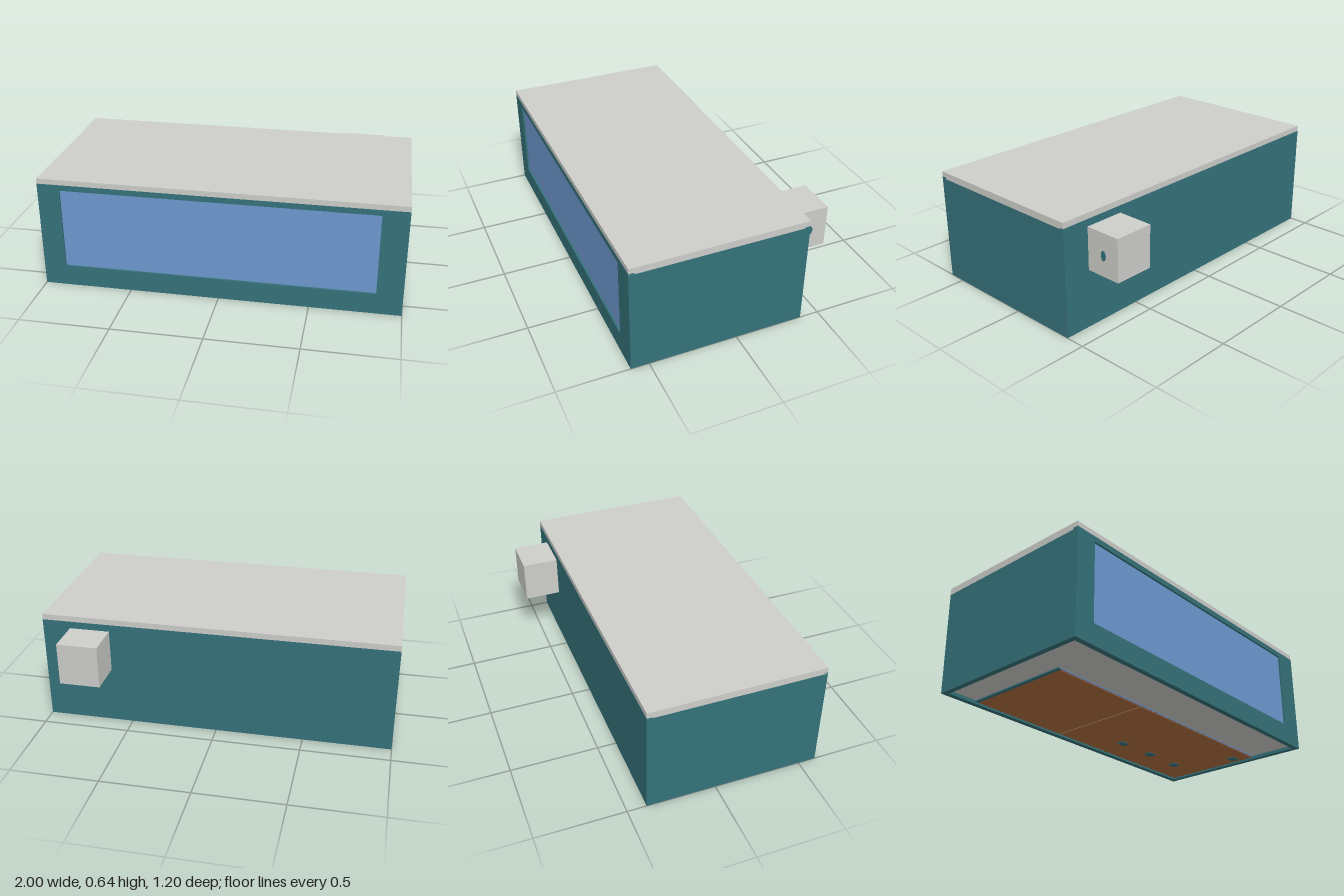
import * as THREE from 'three';

const mat = (name, color) => {
  const m = new THREE.MeshStandardMaterial({ color });
  m.name = name;
  return m;
};

export function createModel() {
  const model = new THREE.Group();
  model.name = 'displayCase';
  const teal = mat('teal', 0x35727a);
  const pale = mat('paleGrey', 0xcdcdca);
  const blue = mat('windowBlue', 0x6f9ad1);
  const brown = mat('boardBrown', 0xb06e40);

  // Box given by its lower and upper corners
  const box = (name, material, [x0, y0, z0], [x1, y1, z1]) => {
    const mesh = new THREE.Mesh(new THREE.BoxGeometry(x1 - x0, y1 - y0, z1 - z0), material);
    mesh.name = name;
    mesh.position.set((x0 + x1) / 2, (y0 + y1) / 2, (z0 + z1) / 2);
    model.add(mesh);
    return mesh;
  };

  // Front wall with the window opening
  const wall = new THREE.Shape([[-1, 0], [1, 0], [1, 0.615], [-1, 0.615]].map(p => new THREE.Vector2(...p)));
  wall.holes.push(new THREE.Path(
    [[-0.875, 0.12], [-0.875, 0.583], [0.857, 0.583], [0.857, 0.12]].map(p => new THREE.Vector2(...p))));
  const front = new THREE.Mesh(new THREE.ExtrudeGeometry(wall, { depth: 0.031, bevelEnabled: false }), teal);
  front.name = 'frontWall';
  front.position.z = 0.57;
  model.add(front);

  // Other walls
  box('backWall', teal, [-1, 0, -0.391], [1, 0.612, -0.36]);
  box('leftWall', teal, [0.97, 0, -0.36], [1, 0.606, 0.57]);
  box('rightWall', teal, [-1, 0, -0.36], [-0.97, 0.606, 0.57]);

  // Lid, window pane and floor
  box('lid', pale, [-1, 0.605, -0.39], [1, 0.645, 0.6]);
  box('windowPane', blue, [-0.885, 0.11, 0.56], [0.867, 0.593, 0.59]);
  box('floor', pale, [-0.97, 0.02, -0.36], [0.97, 0.05, 0.57]);

  // Two boards under the floor with thin seams
  box('boardSeam', blue, [-0.77, 0.016, -0.36], [0.97, 0.02, 0.28]);
  box('boardEnd', teal, [-0.79, 0.012, -0.36], [-0.77, 0.02, 0.28]);
  box('smallBoard', brown, [-0.77, 0.012, -0.36], [-0.145, 0.018, 0.272]);
  box('largeBoard', brown, [-0.135, 0.012, -0.36], [0.97, 0.018, 0.272]);

  // Small square pads on the large board
  for (const [x, z] of [[0.75, -0.19], [0.49, -0.18], [0.23, -0.18], [0.91, 0.165]]) {
    box('boardPad', teal, [x - 0.03, 0.008, z - 0.025], [x + 0.03, 0.013, z + 0.025]);
  }

  // Box on the back with a small oval port on its side
  box('rearBox', pale, [0.61, 0.33, -0.6], [0.84, 0.572, -0.385]);
  const port = new THREE.Mesh(new THREE.CylinderGeometry(1, 1, 0.006, 20), teal);
  port.name = 'rearBoxPort';
  port.rotation.z = Math.PI / 2;
  port.scale.set(0.028, 1, 0.016);
  port.position.set(0.84, 0.447, -0.5);
  model.add(port);

  return model;
}
